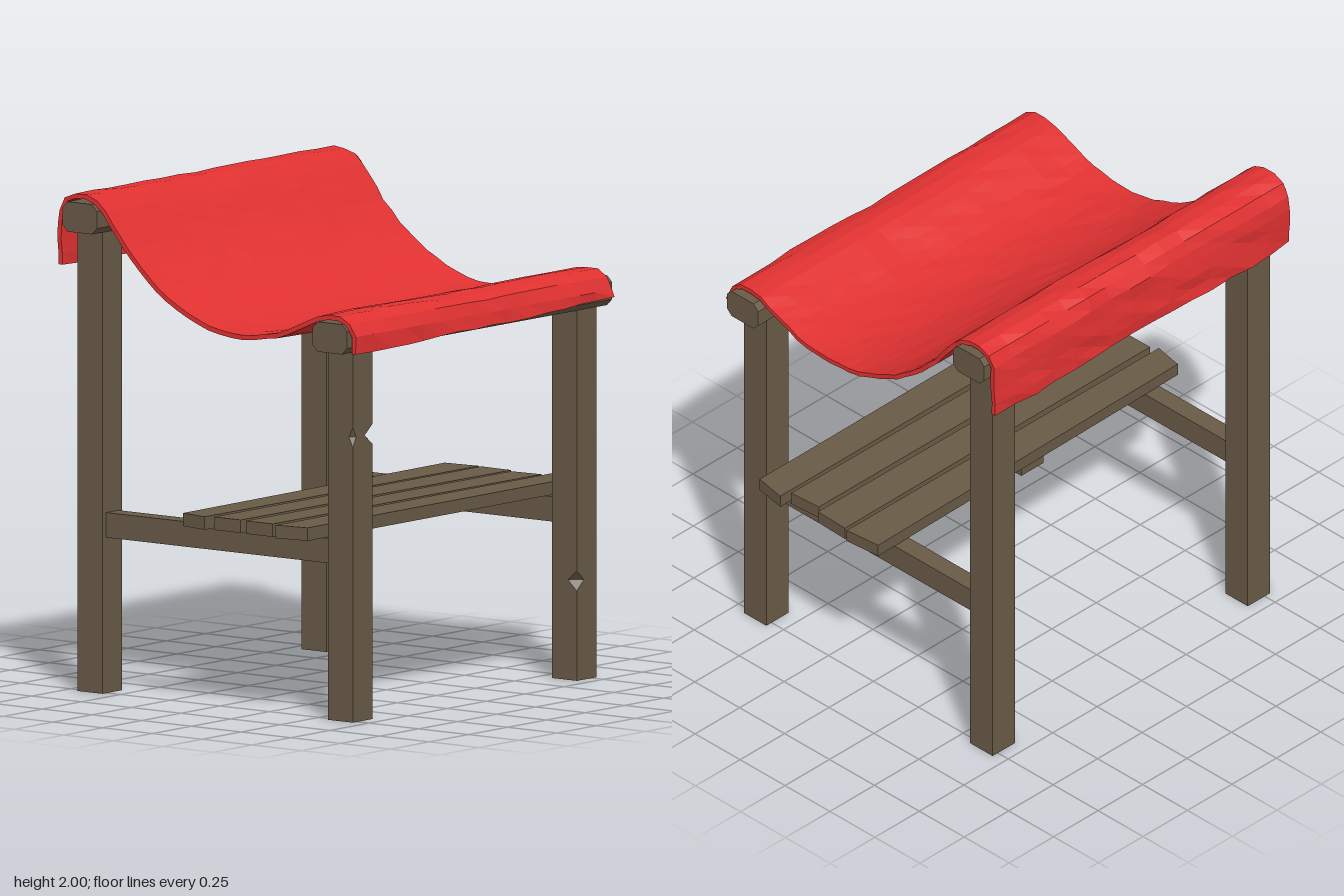
import * as THREE from 'three';

const wood = new THREE.MeshStandardMaterial({ color: 0x685a46 });
const cloth = new THREE.MeshStandardMaterial({ color: 0xe03131 });
wood.name = 'wood';
cloth.name = 'red cloth';

let seed = 7;
const random = () => {
  seed = (seed * 16807) % 2147483647;
  return seed / 2147483647;
};

// Skins a row of closed rings of [x, y, z] points and caps both ends, flat shaded.
function loft(name, rings, material) {
  const pos = [];
  const tri = (a, b, c) => pos.push(...a, ...b, ...c);
  const n = rings[0].length;
  for (let k = 0; k + 1 < rings.length; k++) {
    for (let i = 0; i < n; i++) {
      const j = (i + 1) % n;
      const [a, b, c, d] = [rings[k][i], rings[k][j], rings[k + 1][j], rings[k + 1][i]];
      tri(a, b, c);
      tri(a, c, d);
    }
  }
  const cap = (r) => {
    for (let i = 0; i < Math.floor((n - 1) / 2); i++) {
      tri(r[i], r[i + 1], r[n - 1 - i]);
      tri(r[i + 1], r[n - 2 - i], r[n - 1 - i]);
    }
  };
  cap(rings[rings.length - 1]);
  cap([...rings[0]].reverse());
  const geometry = new THREE.BufferGeometry();
  geometry.setAttribute('position', new THREE.Float32BufferAttribute(pos, 3));
  geometry.computeVertexNormals();
  const mesh = new THREE.Mesh(geometry, material);
  mesh.name = name;
  return mesh;
}

// Square post whose front corners can carry one chip each
function post(name, x, z, top, chipY = 0, chipLeft = 0, chipRight = 0) {
  const h = 0.0625;
  const ring = (y, l, r) => [
    [x - h, y, z + h - l], [x - h + l, y, z + h],
    [x + h - r, y, z + h], [x + h, y, z + h - r],
    [x + h, y, z - h], [x - h, y, z - h],
  ];
  const rings = [ring(0, 0, 0)];
  if (chipY) {
    rings.push(ring(chipY - 0.04, 0, 0), ring(chipY, chipLeft, chipRight), ring(chipY + 0.04, 0, 0));
  }
  rings.push(ring(top, 0, 0));
  return loft(name, rings, wood);
}

// Chamfered beam running along x
function beam(name, z, y) {
  const w = 0.087, h = 0.06, c = 0.026;
  const profile = [
    [-w, h - c], [-w + c, h], [w - c, h], [w, h - c],
    [w, -h + c], [w - c, -h], [-w + c, -h], [-w, -h + c],
  ];
  return loft(name, [-0.848, 0.85].map((x) => profile.map(([dz, dy]) => [x, y + dy, z + dz])), wood);
}

// Slat with skewed ends; each end is [back x, back z, front x, front z]
function slat(left, right) {
  const ring = ([xb, zb, xf, zf]) => [[xb, 0.775, zb], [xf, 0.775, zf], [xf, 0.723, zf], [xb, 0.723, zb]];
  return loft('shelfSlat', [ring(left), ring(right)], wood);
}

// Cloth slung over both beams, with uneven hems and small dents
function sling() {
  const path = new THREE.CatmullRomCurve3([
    [-0.75, 1.7], [-0.745, 1.85], [-0.728, 1.95], [-0.685, 1.992], [-0.6, 1.995], [-0.545, 1.975],
    [-0.48, 1.9], [-0.38, 1.78], [-0.25, 1.665], [-0.1, 1.575], [0.05, 1.525], [0.2, 1.514],
    [0.35, 1.535], [0.48, 1.585], [0.57, 1.623], [0.65, 1.628], [0.71, 1.608], [0.742, 1.56], [0.75, 1.495],
  ].map(([z, y]) => new THREE.Vector3(0, y, z)), false, 'centripetal');
  const rows = 36, columns = 15, thickness = 0.019;
  const rings = [];
  for (let c = 0; c <= columns; c++) {
    const u = c / columns;
    const x = -0.835 + 1.655 * u;
    const outer = [], inner = [];
    for (let r = 0; r <= rows; r++) {
      const t = r / rows;
      const p = path.getPointAt(t), d = path.getTangentAt(t);
      const flap = p.z > 0.66 || p.z < -0.7;
      const dent = (random() - 0.5) * (flap ? 0.014 : 0.006)
        + Math.sin(u * 9 + t * 7) * (flap ? 0.004 : 0.002);
      // sag deepens a little towards the middle of the width
      const sag = p.z > 0 && p.z < 0.5 ? 0.014 * Math.sin(Math.PI * u) * Math.sin(Math.PI * p.z / 0.5) : 0;
      const hem = r === rows ? 0.035 * (u - 0.4) + (random() - 0.5) * 0.012
        : r === 0 ? random() * 0.01 : 0;
      const edge = c === 0 || c === columns ? (random() - 0.5) * 0.006 : 0;
      const y = Math.min(p.y + d.z * dent - sag + hem, 2);
      const z = p.z - d.y * dent;
      outer.push([x + edge, y, z]);
      inner.unshift([x + edge, y - d.z * thickness, z + d.y * thickness]);
    }
    rings.push([...outer, ...inner]);
  }
  return loft('slingCloth', rings, cloth);
}

export function createModel() {
  const model = new THREE.Group();
  model.name = 'slingStand';

  // Posts
  model.add(
    post('frontRightPost', -0.717, 0.63, 1.5, 1.14, 0.02, 0.05),
    post('frontLeftPost', 0.717, 0.63, 1.5, 0.4, 0.045, 0),
    post('backRightPost', -0.717, -0.63, 1.87),
    post('backLeftPost', 0.717, -0.63, 1.87),
  );

  // Beams that carry the cloth
  model.add(beam('frontBeam', 0.63, 1.54), beam('backBeam', -0.628, 1.905));

  // Side rails between the posts
  for (const side of [-1, 1]) {
    const rail = new THREE.Mesh(new THREE.BoxGeometry(0.08, 0.1, 1.15), wood);
    rail.name = 'sideRail';
    rail.position.set(side * 0.715, 0.672, 0);
    model.add(rail);
  }

  // Shelf slats, front to back
  model.add(
    slat([-0.89, 0.39, -0.87, 0.535], [0.885, 0.385, 0.86, 0.525]),
    slat([-0.87, 0.225, -0.87, 0.36], [0.83, 0.225, 0.84, 0.37]),
    slat([-0.865, 0.06, -0.865, 0.195], [0.86, 0.05, 0.855, 0.205]),
    slat([-0.86, -0.1, -0.885, 0.03], [0.85, -0.125, 0.865, 0.035]),
  );

  model.add(sling());
  return model;
}
